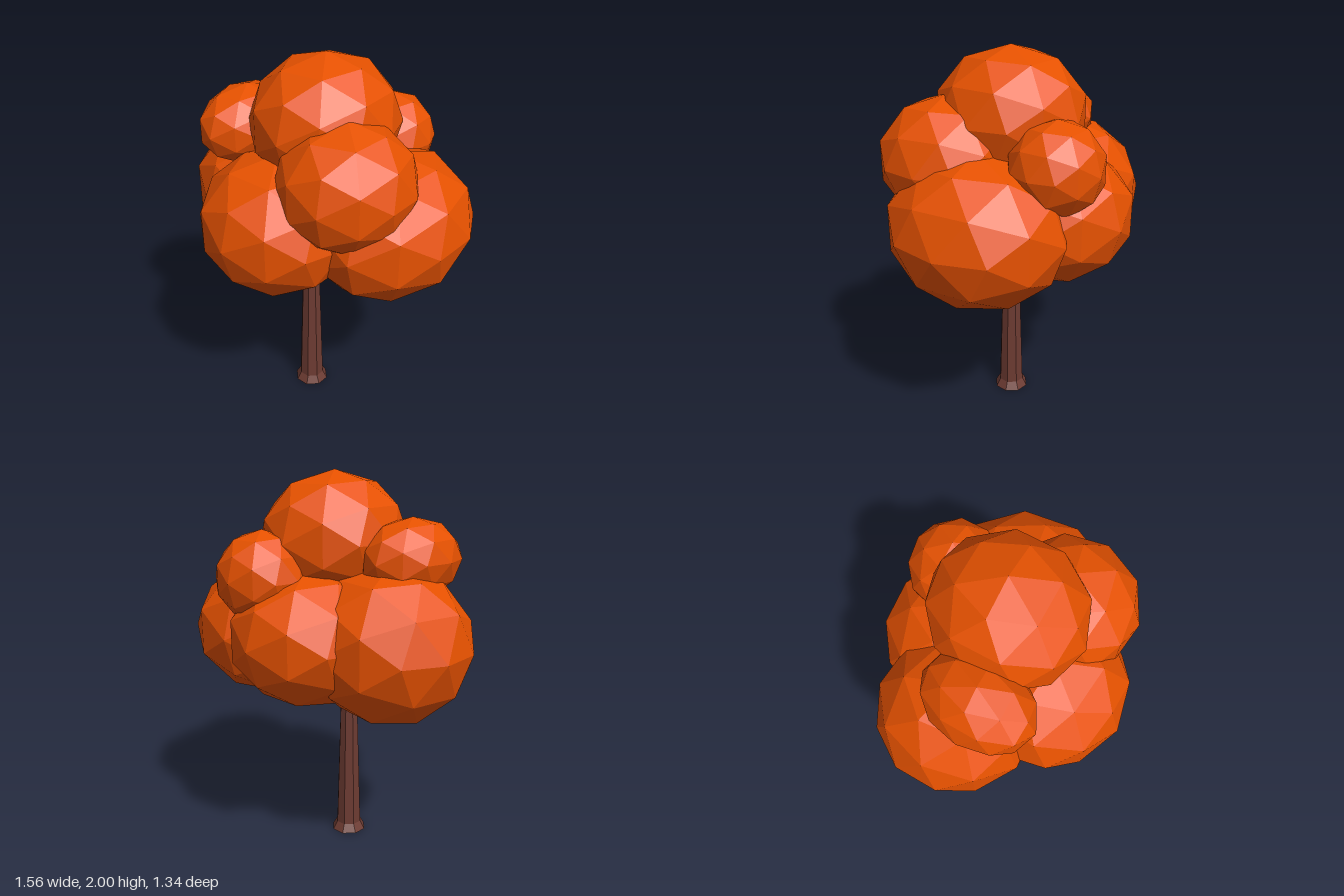
import * as THREE from 'three';

export function createModel() {
  const tree = new THREE.Group();
  tree.name = 'tree';
  const leafMaterial = new THREE.MeshStandardMaterial({ color: 0xe65100, flatShading: true });
  const barkMaterial = new THREE.MeshStandardMaterial({ color: 0x6d3b32, flatShading: true });

  // Tapered eight-sided trunk with a flared foot, running up into the crown
  const profile = [[0, 0], [0.095, 0], [0.07, 0.045], [0.047, 0.8], [0.036, 1.15], [0, 1.15]]
    .map(([r, y]) => new THREE.Vector2(r, y));
  const trunk = new THREE.Mesh(new THREE.LatheGeometry(profile, 8, Math.PI / 8), barkMaterial);
  trunk.name = 'trunk';
  trunk.position.set(-0.02, 0, 0.03);
  tree.add(trunk);

  // Faceted leaf clumps: name, centre, radii, turn of the facets
  const clumps = [
    ['frontClump', [-0.02, 1.195, 0.27], [0.42, 0.365, 0.4], 0],
    ['backClump', [-0.02, 1.19, -0.27], [0.41, 0.35, 0.4], 0],
    ['leftClump', [0.375, 1.175, -0.11], [0.42, 0.385, 0.48], 0.25],
    ['rightClump', [-0.365, 1.17, -0.045], [0.425, 0.4, 0.415], -0.2],
    ['lowerClump', [-0.02, 0.97, 0.2], [0.22, 0.2, 0.2], 0],
    ['topClump', [0.035, 1.66, -0.02], [0.37, 0.34, 0.395], 0.1],
    ['upperLeftClump', [0.305, 1.455, 0.15], [0.345, 0.325, 0.355], 0.3],
    ['upperRightClump', [-0.375, 1.58, 0.1], [0.217, 0.205, 0.295], 0.1],
    ['upperBackClump', [0.15, 1.49, -0.41], [0.24, 0.235, 0.235], 0.1],
  ];
  const crown = new THREE.Group();
  crown.name = 'crown';
  for (const [name, centre, radii, turn] of clumps) {
    const geometry = new THREE.IcosahedronGeometry(1, 1).rotateY(turn).scale(...radii);
    const clump = new THREE.Mesh(geometry, leafMaterial);
    clump.name = name;
    clump.position.set(...centre);
    crown.add(clump);
  }
  tree.add(crown);
  return tree;
}
